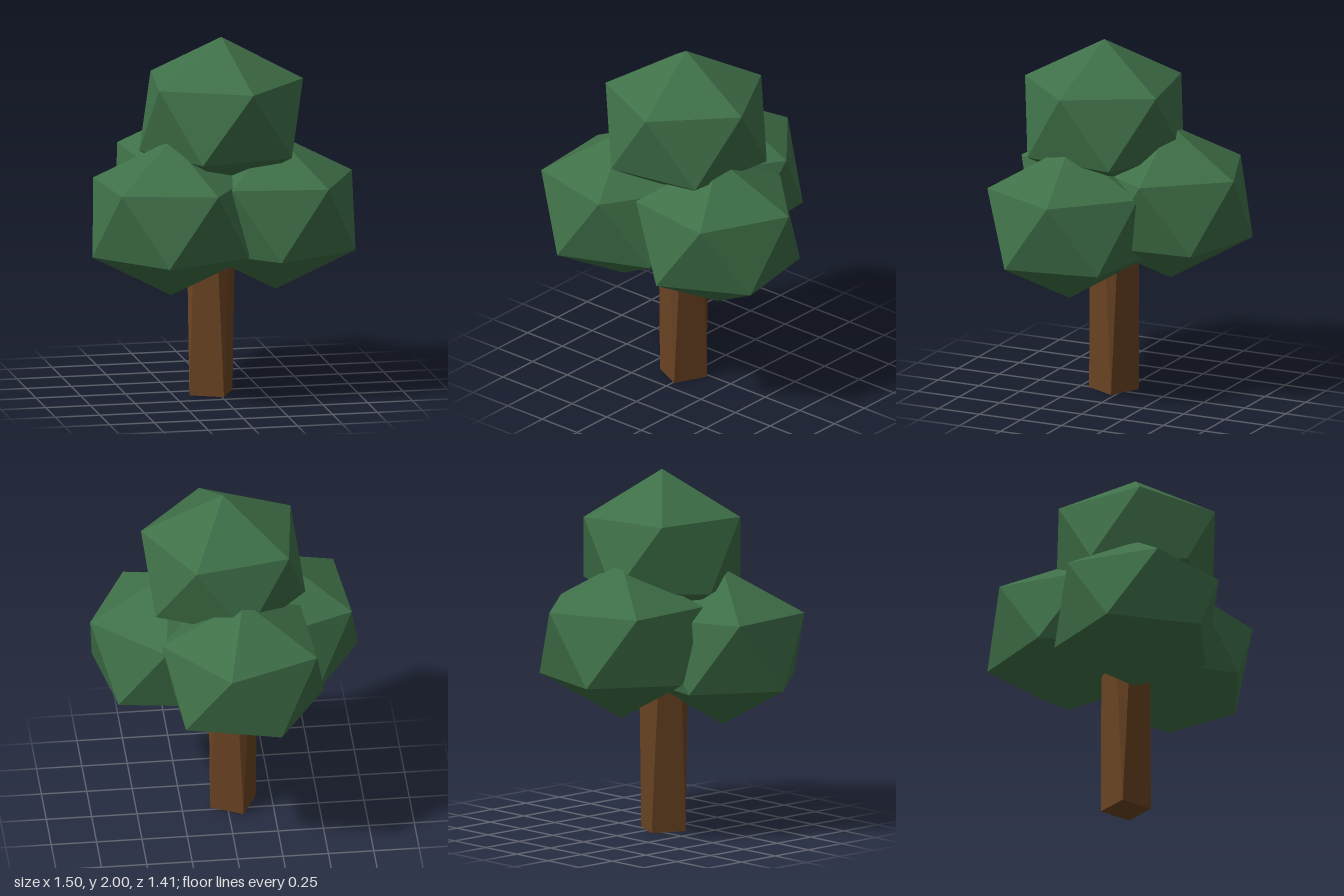
import * as THREE from 'three';

const deg = THREE.MathUtils.degToRad;

// Icosahedron stood on one corner, with a ring corner facing +z
function crownGeometry() {
  const geo = new THREE.IcosahedronGeometry(1, 0);
  geo.rotateX(-Math.atan((1 + Math.sqrt(5)) / 2));
  return geo;
}

// Trunk: square at the foot, each corner opening into a bevel towards an octagonal top
function trunkGeometry(radius, height) {
  const geo = new THREE.CylinderGeometry(radius, radius, height, 8, 1, false, Math.PI / 8);
  const pos = geo.attributes.position;
  for (let i = 0; i < pos.count; i++) {
    const x = pos.getX(i), z = pos.getZ(i);
    if (pos.getY(i) > 0 || Math.hypot(x, z) < 1e-4) continue;
    const a = Math.round(Math.atan2(x, z) / (Math.PI / 2)) * (Math.PI / 2);
    pos.setX(i, radius * Math.sin(a));
    pos.setZ(i, radius * Math.cos(a));
  }
  geo.translate(0, height / 2, 0);
  geo.computeVertexNormals();
  return geo;
}

export function createModel() {
  const tree = new THREE.Group();
  tree.name = 'tree';
  const bark = new THREE.MeshStandardMaterial({ color: 0x6b4423, flatShading: true });
  const leaves = new THREE.MeshStandardMaterial({ color: 0x3f7048, flatShading: true });

  // Trunk
  const trunk = new THREE.Mesh(trunkGeometry(0.138, 1.2), bark);
  trunk.name = 'trunk';
  trunk.position.set(-0.035, 0, 0.065);
  trunk.rotation.y = deg(19);
  tree.add(trunk);

  // Foliage clumps: name, centre, heading of a ring corner
  const geo = crownGeometry();
  const clumps = [
    ['topFoliage', 0.015, 1.565, 0.10, 7],
    ['rightFoliage', -0.30, 1.035, 0.26, 67],
    ['leftFoliage', 0.305, 1.025, 0.17, -10],
    ['backFoliage', -0.055, 1.105, -0.27, -4],
  ];
  for (const [name, x, y, z, heading] of clumps) {
    const clump = new THREE.Mesh(geo, leaves);
    clump.name = name;
    clump.position.set(x, y, z);
    clump.rotation.y = deg(90 - heading);
    clump.scale.set(0.504, 0.435, 0.504);
    tree.add(clump);
  }
  return tree;
}
